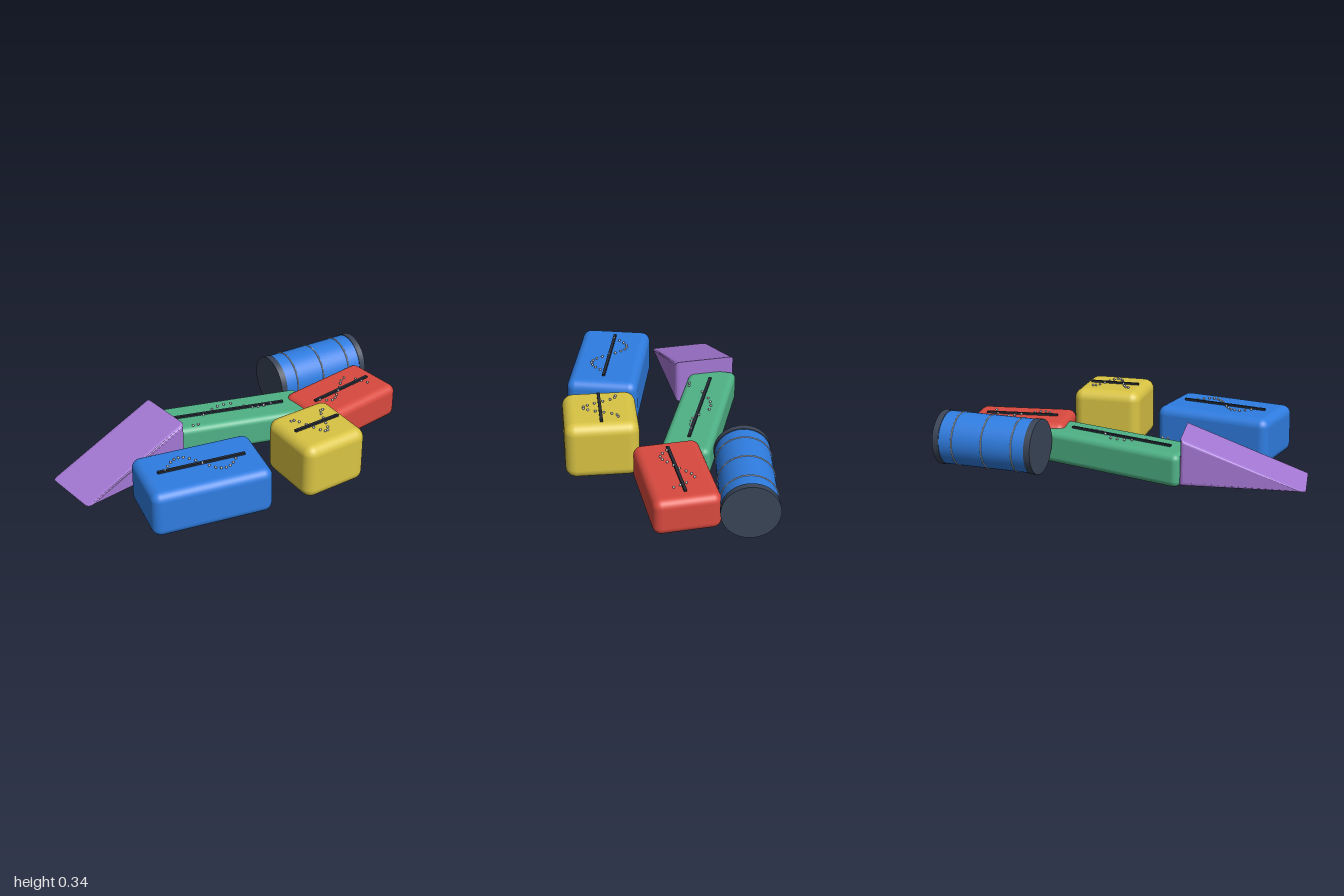
import * as THREE from 'three';
import { RoundedBoxGeometry } from 'three/addons/geometries/RoundedBoxGeometry.js';

function material(name, color) {
  const m = new THREE.MeshStandardMaterial({ color });
  m.name = name;
  return m;
}

function add(parent, name, geometry, mat, x = 0, y = 0, z = 0) {
  const mesh = new THREE.Mesh(geometry, mat);
  mesh.name = name;
  mesh.position.set(x, y, z);
  parent.add(mesh);
  return mesh;
}

export function createModel() {
  const model = new THREE.Group();
  model.name = 'playBlocks';
  const blue = material('blue', 0x2f7de1);
  const yellow = material('yellow', 0xd9c444);
  const red = material('red', 0xd94a3f);
  const green = material('green', 0x4fb286);
  const purple = material('purple', 0xa478d4);
  const slate = material('slate', 0x3a4557);
  const charcoal = material('charcoal', 0x232a35);
  const silver = material('silver', 0xb4b8be);

  // Padded blocks: a rounded box with a seam strip and a wave of studs on top
  const bottom = 0.008;
  const beadGeometry = new THREE.SphereGeometry(0.007, 10, 8);
  function block(name, mat, [w, top, d], [x, z], turn, radius, studs) {
    const g = new THREE.Group();
    g.name = name;
    g.position.set(x, 0, z);
    g.rotation.y = turn;
    const h = top - bottom;
    add(g, 'pad', new RoundedBoxGeometry(w, h, d, 5, radius), mat, 0, bottom + h / 2, 0);
    add(g, 'seamStrip', new THREE.BoxGeometry(w * 0.73, 0.012, 0.016), charcoal, 0, top + 0.005, 0);
    for (const [sx, sz] of studs) add(g, 'stud', beadGeometry, silver, sx, top + 0.006, sz);
    model.add(g);
  }
  // Studs evenly spaced in x along a curve z = f(x)
  const wave = (from, to, n, f) => Array.from({ length: n }, (_, i) => {
    const x = from + (to - from) * i / (n - 1);
    return [x, f(x)];
  });

  block('blueBlock', blue, [0.665, 0.276, 0.395], [-0.395, 0.298], -0.135, 0.05,
    wave(-0.2, 0.18, 16, x => -0.087 * Math.sin(Math.PI * (x + 0.2) / 0.2)));
  block('yellowBlock', yellow, [0.387, 0.332, 0.393], [0.28, 0.343], 0.075, 0.058,
    wave(-0.105, 0.105, 14, x => 0.09 * Math.cos(Math.PI * x / 0.1)));
  block('redBlock', red, [0.56, 0.211, 0.352], [0.693, -0.047], 0.188, 0.045,
    [[-0.175, 0.012], [-0.15, 0.04], [-0.123, 0.058], [-0.095, 0.052], [-0.067, 0.033], [-0.03, 0.008],
      [0.003, -0.015], [0.035, -0.042], [0.063, -0.064], [0.095, -0.073], [0.136, -0.02], [0.15, 0.015], [0.163, 0.051]]);
  block('greenBeam', green, [0.87, 0.187, 0.263], [0.043, -0.2], -0.235, 0.035,
    [[-0.235, 0.105], [-0.205, 0.1], [-0.153, 0.016], [-0.092, -0.029], [-0.055, -0.048], [-0.016, -0.058],
      [0.025, -0.057], [0.092, -0.012], [0.134, 0.014], [0.166, 0.017], [0.2, 0.013], [0.245, 0.003]]);

  // Ramp: bevelled triangular wedge, tall end towards the beam
  const profile = new THREE.Shape();
  profile.moveTo(-0.3, 0.026);
  profile.lineTo(0.305, 0.04);
  profile.lineTo(0.305, 0.25);
  profile.closePath();
  const depth = 0.29;
  const wedge = new THREE.ExtrudeGeometry(profile, {
    depth, bevelEnabled: true, bevelSize: 0.021, bevelThickness: 0.025, bevelSegments: 4,
  });
  wedge.translate(0, 0, -depth / 2);
  add(model, 'ramp', wedge, purple, -0.648, 0, -0.187).rotation.y = 0.186;

  // Barrel lying along x, with end bands, closed ends and thin hoops
  const barrel = new THREE.Group();
  barrel.name = 'barrel';
  barrel.position.set(0.712, 0.151, -0.403);
  const cylinder = (r, length) => new THREE.CylinderGeometry(r, r, length, 48).rotateZ(Math.PI / 2);
  add(barrel, 'barrelBody', cylinder(0.147, 0.53), blue);
  for (const side of [-1, 1]) add(barrel, 'endBand', cylinder(0.151, 0.036), slate, side * 0.269);
  const hoop = new THREE.TorusGeometry(0.147, 0.004, 8, 48).rotateY(Math.PI / 2);
  for (const x of [-0.175, 0, 0.175]) add(barrel, 'hoop', hoop, silver, x);
  model.add(barrel);

  return model;
}
